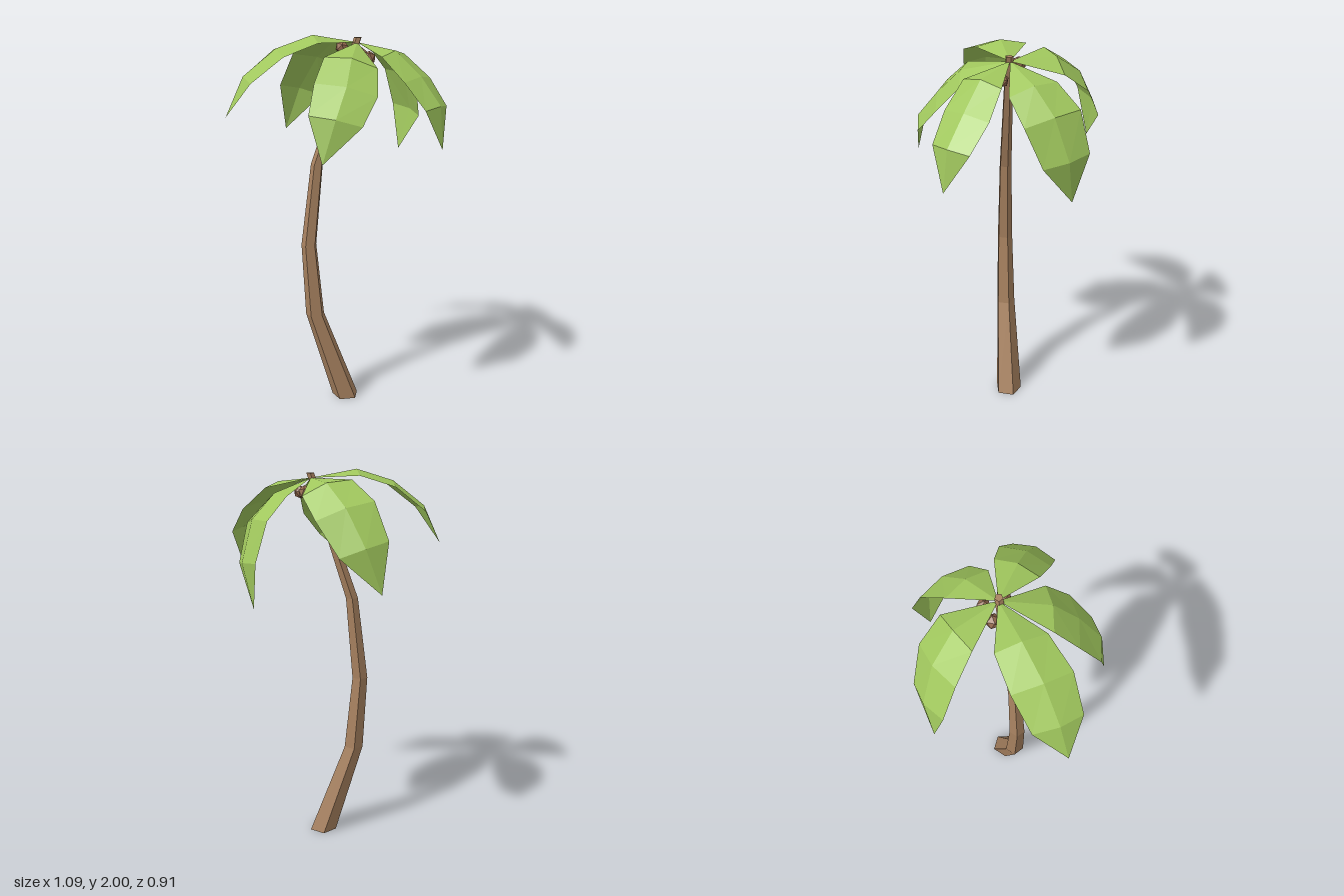
import * as THREE from 'three';

const leafMat = new THREE.MeshStandardMaterial({ color: 0xa0c75d, flatShading: true, side: THREE.DoubleSide });
leafMat.name = 'leaf green';
const barkMat = new THREE.MeshStandardMaterial({ color: 0xa88260, flatShading: true });
barkMat.name = 'bark brown';
const nutMat = new THREE.MeshStandardMaterial({ color: 0x946a50, flatShading: true });
nutMat.name = 'coconut brown';

const CROWN = new THREE.Vector3(0.135, 1.96, 0);
const WIDTHS = [0.13, 0.152, 0.128];
const RIDGE = 0.027;

function add(group, name, geometry, material) {
  const mesh = new THREE.Mesh(geometry, material);
  mesh.name = name;
  group.add(mesh);
  return mesh;
}

// Five-sided trunk: horizontal rings [x, y, radius] follow the bent stem
function trunkGeometry() {
  const rings = [[0.082, 0, 0.074], [-0.088, 0.5, 0.052], [-0.12, 0.9, 0.042], [-0.075, 1.34, 0.033], [0.137, 1.985, 0.02]];
  const geo = new THREE.CylinderGeometry(1, 1, 1, 5, 4, false, Math.PI);
  const pos = geo.attributes.position;
  for (let i = 0; i < pos.count; i++) {
    const [x, y, r] = rings[Math.round((pos.getY(i) + 0.5) * 4)];
    pos.setXYZ(i, x + pos.getX(i) * r, y, 0.004 + pos.getZ(i) * r);
  }
  const flat = geo.toNonIndexed();
  flat.computeVertexNormals();
  return flat;
}

// Frond: three folded cross-sections along a drooping spine, pointed at both ends
function frondGeometry(spine, side, scale) {
  const s = new THREE.Vector3(...side).normalize();
  const mids = spine.map((p) => new THREE.Vector3(...p));
  const rows = WIDTHS.map((w, i) => {
    const prev = i ? mids[i - 1] : CROWN;
    const forward = mids[i + 1].clone().sub(prev);
    const up = forward.cross(s).normalize();
    return [
      mids[i].clone().addScaledVector(s, -w * scale),
      mids[i].clone().addScaledVector(up, RIDGE),
      mids[i].clone().addScaledVector(s, w * scale),
    ];
  });
  const tip = mids[3];
  const tris = [];
  for (let k = 0; k < 2; k++) {
    tris.push(CROWN, rows[0][k], rows[0][k + 1]);
    for (let i = 0; i < 2; i++) {
      const [a, b] = [rows[i][k], rows[i][k + 1]];
      const [c, d] = [rows[i + 1][k], rows[i + 1][k + 1]];
      tris.push(a, c, b, b, c, d);
    }
    tris.push(rows[2][k], tip, rows[2][k + 1]);
  }
  // Base triangles wind the same way as the rest, upper side out
  for (let k = 0; k < 2; k++) {
    const i = k * 18;
    [tris[i + 1], tris[i + 2]] = [tris[i + 1], tris[i + 2]];
  }
  const geo = new THREE.BufferGeometry().setFromPoints(tris);
  geo.computeVertexNormals();
  return geo;
}

export function createModel() {
  const palm = new THREE.Group();
  palm.name = 'palmTree';
  add(palm, 'trunk', trunkGeometry(), barkMat);

  // Fronds: spine points after the crown, sideways direction, width scale
  const fronds = [
    ['rightFrond', [[-0.096, 1.974, 0.022], [-0.276, 1.915, 0.052], [-0.435, 1.79, 0.07], [-0.547, 1.61, 0.088]], [0.05, -0.04, 1], 0.97],
    ['frontFrond', [[0.058, 1.88, 0.216], [0.013, 1.763, 0.325], [-0.055, 1.63, 0.42], [-0.124, 1.43, 0.452]], [0.96, -0.2, 0.22], 1.02],
    ['leftFrontFrond', [[0.287, 1.905, 0.143], [0.392, 1.79, 0.223], [0.469, 1.66, 0.301], [0.495, 1.46, 0.343]], [0.69, 0, -0.72], 0.87],
    ['leftBackFrond', [[0.303, 1.875, -0.09], [0.406, 1.768, -0.168], [0.457, 1.577, -0.23], [0.43, 1.355, -0.267]], [-0.345, 0.15, -0.92], 0.97],
    ['backFrond', [[0.065, 1.935, -0.22], [-0.012, 1.84, -0.34], [-0.095, 1.67, -0.423], [-0.18, 1.455, -0.44]], [-0.93, 0.26, 0.26], 1.01],
  ];
  for (const [name, spine, side, scale] of fronds) {
    add(palm, name, frondGeometry(spine, side, scale), leafMat);
  }

  // Coconuts tucked under the crown
  const nuts = [[0.065, 1.93, -0.05], [0.185, 1.885, 0.045], [0.165, 1.895, -0.06]];
  nuts.forEach((p, i) => {
    const nut = add(palm, 'coconut' + (i + 1), new THREE.IcosahedronGeometry(0.036, 0), nutMat);
    nut.position.set(...p);
    nut.rotation.set(i, i * 2, 0.3);
  });
  return palm;
}
